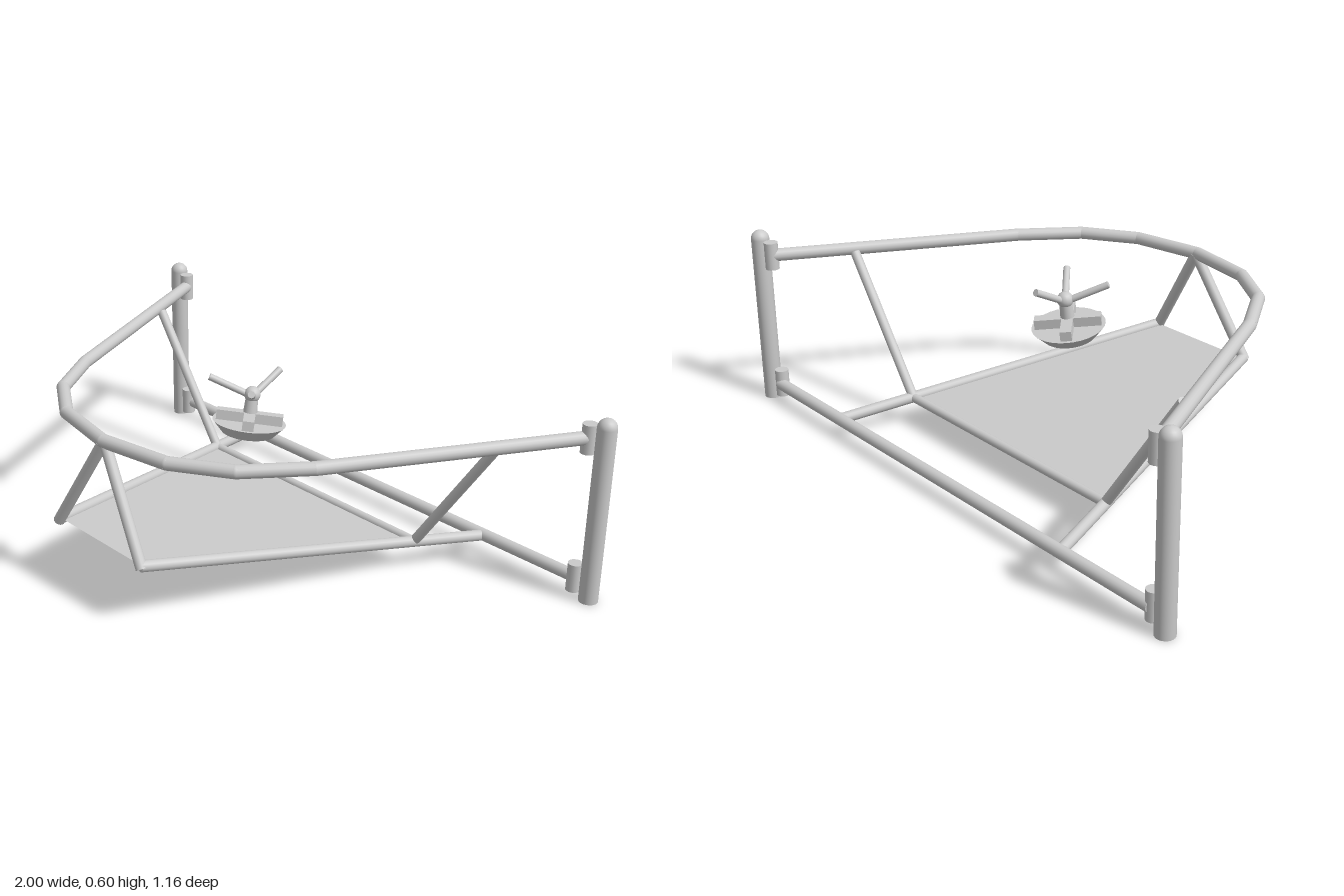
import * as THREE from 'three';

const material = new THREE.MeshStandardMaterial({ color: 0xcccccc });
const panelMaterial = new THREE.MeshStandardMaterial({ color: 0xcccccc, side: THREE.DoubleSide });
const UP = new THREE.Vector3(0, 1, 0);

function add(parent, name, geometry, x = 0, y = 0, z = 0, mat = material) {
  const mesh = new THREE.Mesh(geometry, mat);
  mesh.name = name;
  mesh.position.set(x, y, z);
  parent.add(mesh);
  return mesh;
}

// Straight round bar between two points
function bar(parent, name, from, to, radius) {
  const a = new THREE.Vector3(...from), b = new THREE.Vector3(...to);
  const dir = b.clone().sub(a);
  const mid = a.clone().add(b).multiplyScalar(0.5);
  const mesh = add(parent, name, new THREE.CylinderGeometry(radius, radius, dir.length(), 16), mid.x, mid.y, mid.z);
  mesh.quaternion.setFromUnitVectors(UP, dir.normalize());
  return mesh;
}

export function createModel() {
  const model = new THREE.Group();
  model.name = 'tubeFrame';

  // Domed posts, hinge sleeves, floor rails and braces, mirrored
  const postProfile = [new THREE.Vector2(0, 0), new THREE.Vector2(0.03, 0)];
  for (let i = 0; i <= 6; i++) {
    const a = (i / 6) * Math.PI / 2;
    postProfile.push(new THREE.Vector2(0.03 * Math.cos(a), 0.572 + 0.03 * Math.sin(a)));
  }
  for (const s of [1, -1]) {
    const side = s > 0 ? 'left' : 'right';
    add(model, side + 'Post', new THREE.LatheGeometry(postProfile, 24), s * 0.97, 0, -0.55);
    for (const y of [0.065, 0.525]) {
      add(model, side + 'HingeSleeve', new THREE.CylinderGeometry(0.023, 0.023, 0.092, 16), s * 0.917, y, -0.542);
    }
    bar(model, side + 'FloorRail', [s * 0.552, 0.058, -0.55], [s * 0.2, 0.206, 0.56], 0.018);
    bar(model, side + 'Brace', [s * 0.775, 0.52, -0.308], [s * 0.475, 0.092, -0.308], 0.016);
    bar(model, side + 'FrontStrut', [s * 0.205, 0.198, 0.56], [0, 0.525, 0.525], 0.018);
  }
  bar(model, 'rearLowerBar', [-0.915, 0.06, -0.55], [0.915, 0.06, -0.55], 0.02);
  bar(model, 'floorCrossBar', [-0.475, 0.09, -0.308], [0.475, 0.09, -0.308], 0.015);

  // Upper hoop: straight lengths with rounded joints
  const half = [[0.915, -0.54], [0.54, 0.2], [0.41, 0.38], [0.24, 0.488]];
  const hoop = [...half, [0, 0.53], ...half.map(([x, z]) => [-x, z]).reverse()];
  const hoopGroup = new THREE.Group();
  hoopGroup.name = 'upperHoop';
  model.add(hoopGroup);
  hoop.forEach(([x, z], i) => {
    if (i === 0) return;
    const [px, pz] = hoop[i - 1];
    bar(hoopGroup, 'hoopLength', [px, 0.526, pz], [x, 0.526, z], 0.021);
    if (i < hoop.length - 1) add(hoopGroup, 'hoopJoint', new THREE.SphereGeometry(0.021, 16, 12), x, 0.526, z);
  });

  // Thin sloping floor panel
  const panel = new THREE.BufferGeometry();
  panel.setAttribute('position', new THREE.Float32BufferAttribute([
    -0.475, 0.09, -0.308, 0.475, 0.09, -0.308, 0.2, 0.205, 0.555, -0.2, 0.205, 0.555], 3));
  panel.setIndex([0, 3, 2, 0, 2, 1]);
  panel.computeVertexNormals();
  add(model, 'floorPanel', panel, 0, 0, 0, panelMaterial);

  // Tilted dish with crossed blocks, stem, knob and three prongs
  const dish = new THREE.Group();
  dish.name = 'dishAssembly';
  dish.position.set(0, 0.387, -0.031);
  dish.rotation.x = -0.15;
  model.add(dish);
  add(dish, 'dish', new THREE.CylinderGeometry(0.117, 0.084, 0.037, 32), 0, 0.018, 0);
  for (const a of [1, -1]) {
    add(dish, 'crossBlock', new THREE.BoxGeometry(0.21, 0.034, 0.036), 0, 0.051, 0).rotation.y = a * Math.PI / 4;
  }
  add(dish, 'stem', new THREE.CylinderGeometry(0.019, 0.024, 0.09, 16), 0, 0.08, 0);
  add(dish, 'knob', new THREE.SphereGeometry(0.026, 16, 12), 0, 0.126, 0);
  bar(model, 'rearProng', [0, 0.505, -0.05], [0, 0.565, -0.168], 0.011);
  for (const s of [1, -1]) bar(model, 'frontProng', [0, 0.505, -0.05], [s * 0.098, 0.566, 0.042], 0.011);

  return model;
}
